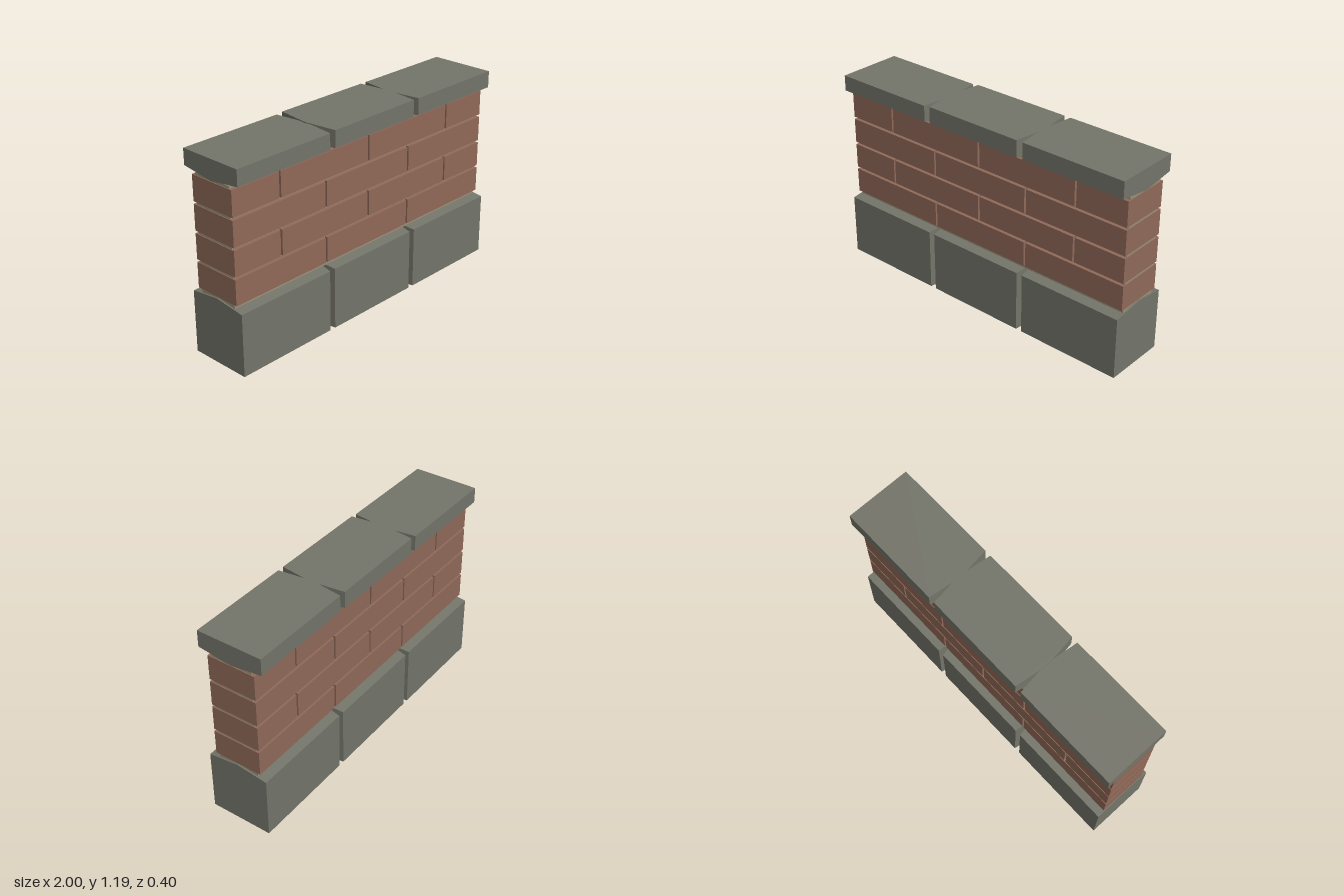
import * as THREE from 'three';
import { ConvexGeometry } from 'three/addons/geometries/ConvexGeometry.js';

const material = (name, color) => {
  const m = new THREE.MeshStandardMaterial({ color, flatShading: true });
  m.name = name;
  return m;
};

export function createModel() {
  const stone = material('grey stone', 0x74756a);
  const brick = material('red brick', 0x916a59);
  const mortar = material('tan mortar', 0x9c9279);
  const wall = new THREE.Group();
  wall.name = 'brickWall';

  const add = (parent, name, geometry, mat) => {
    const mesh = new THREE.Mesh(geometry, mat);
    mesh.name = name;
    parent.add(mesh);
    return mesh;
  };

  // Stone block from a [z, y] section; inner ends bulge towards the middle
  // so that neighbours meet in the centre and leave V-shaped gaps outside.
  const block = (index, section) => {
    const points = [];
    for (const [z, y] of section) {
      const inset = -0.006 + 0.026 * Math.abs(z) / 0.2;
      const x0 = index === 0 ? -0.998 : -1 + index * 2 / 3 + inset;
      const x1 = index === 2 ? 0.998 : -1 + (index + 1) * 2 / 3 - inset;
      points.push(new THREE.Vector3(x0, y, z), new THREE.Vector3(x1, y, z));
    }
    return new ConvexGeometry(points);
  };

  // Base stones with a ridged top, cap stones with a keeled underside
  const bases = new THREE.Group();
  bases.name = 'baseStones';
  const caps = new THREE.Group();
  caps.name = 'capStones';
  const capTops = [1.184, 1.19, 1.19];
  for (let i = 0; i < 3; i++) {
    add(bases, 'baseStone', block(i, [
      [-0.188, 0], [0, 0], [0.191, 0], [0.191, 0.373], [0, 0.397], [-0.188, 0.373],
    ]), stone);
    const top = capTops[i];
    add(caps, 'capStone', block(i, [
      [-0.2, 1.09], [0, 1.063], [0.2, 1.09], [0.2, top], [0, top], [-0.2, top],
    ]), stone);
  }

  // Recessed mortar core
  add(wall, 'mortarCore', new THREE.BoxGeometry(1.978, 0.69, 0.256), mortar)
    .position.y = 0.725;

  // Four brick courses in running bond
  const bricks = new THREE.Group();
  bricks.name = 'bricks';
  const joint = 0.012;
  for (let row = 0; row < 4; row++) {
    const edges = row % 2 ? [-1, -0.667, 0, 0.667, 1] : [-1, -0.333, 0.333, 1];
    for (let i = 0; i < edges.length - 1; i++) {
      const width = edges[i + 1] - edges[i] - joint;
      add(bricks, 'brick', new THREE.BoxGeometry(width, 0.151, 0.296), brick)
        .position.set((edges[i] + edges[i + 1]) / 2, 0.481 + row * 0.1665, 0);
    }
  }

  wall.add(bases, bricks, caps);
  return wall;
}
